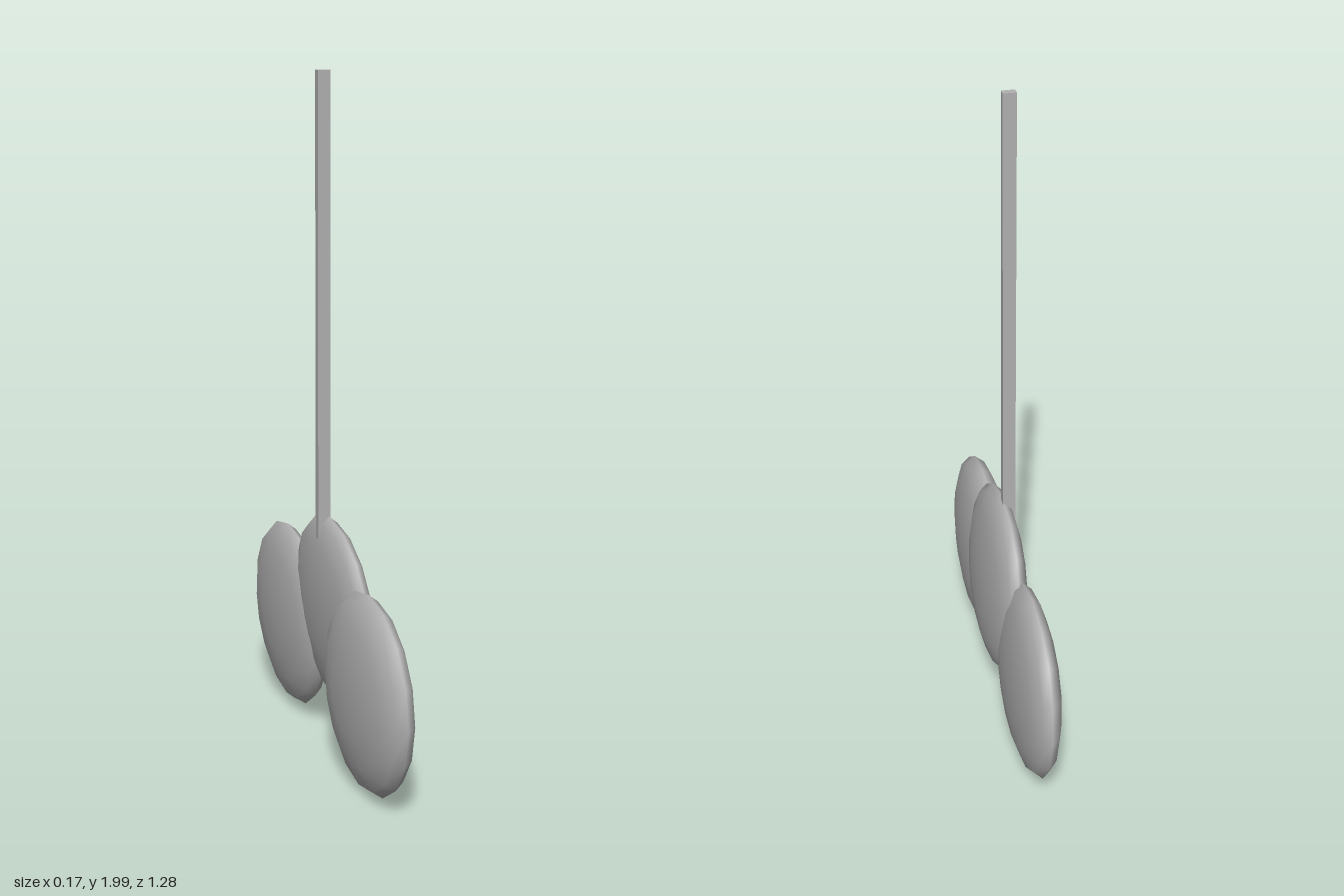
import * as THREE from 'three';

export function createModel() {
  const model = new THREE.Group();
  const grey = new THREE.MeshStandardMaterial({ color: 0xb0b0b0 });
  grey.name = 'plain grey';

  // Flattened round lobe: pole along x, smooth with a 16-sided rim
  const lobeGeometry = new THREE.SphereGeometry(1, 16, 8).rotateZ(Math.PI / 2);
  function addLobe(name, x, y, z, radius, halfThickness, lean) {
    const lobe = new THREE.Mesh(lobeGeometry, grey);
    lobe.name = name;
    lobe.position.set(x, y, z);
    lobe.scale.set(halfThickness, radius, radius);
    lobe.rotation.z = lean;
    model.add(lobe);
  }
  addLobe('frontLobe', -0.01, 0.3, 0.35, 0.29, 0.074, 0);
  addLobe('middleLobe', 0.022, 0.43, 0, 0.288, 0.062, 0.06);
  addLobe('backLobe', 0.008, 0.31, -0.35, 0.29, 0.066, 0.03);

  // Thin upright rod, sunk into the middle lobe
  const rod = new THREE.Mesh(new THREE.BoxGeometry(0.038, 1.38, 0.022), grey);
  rod.name = 'rod';
  rod.position.set(-0.009, 1.31, -0.014);
  model.add(rod);

  return model;
}
